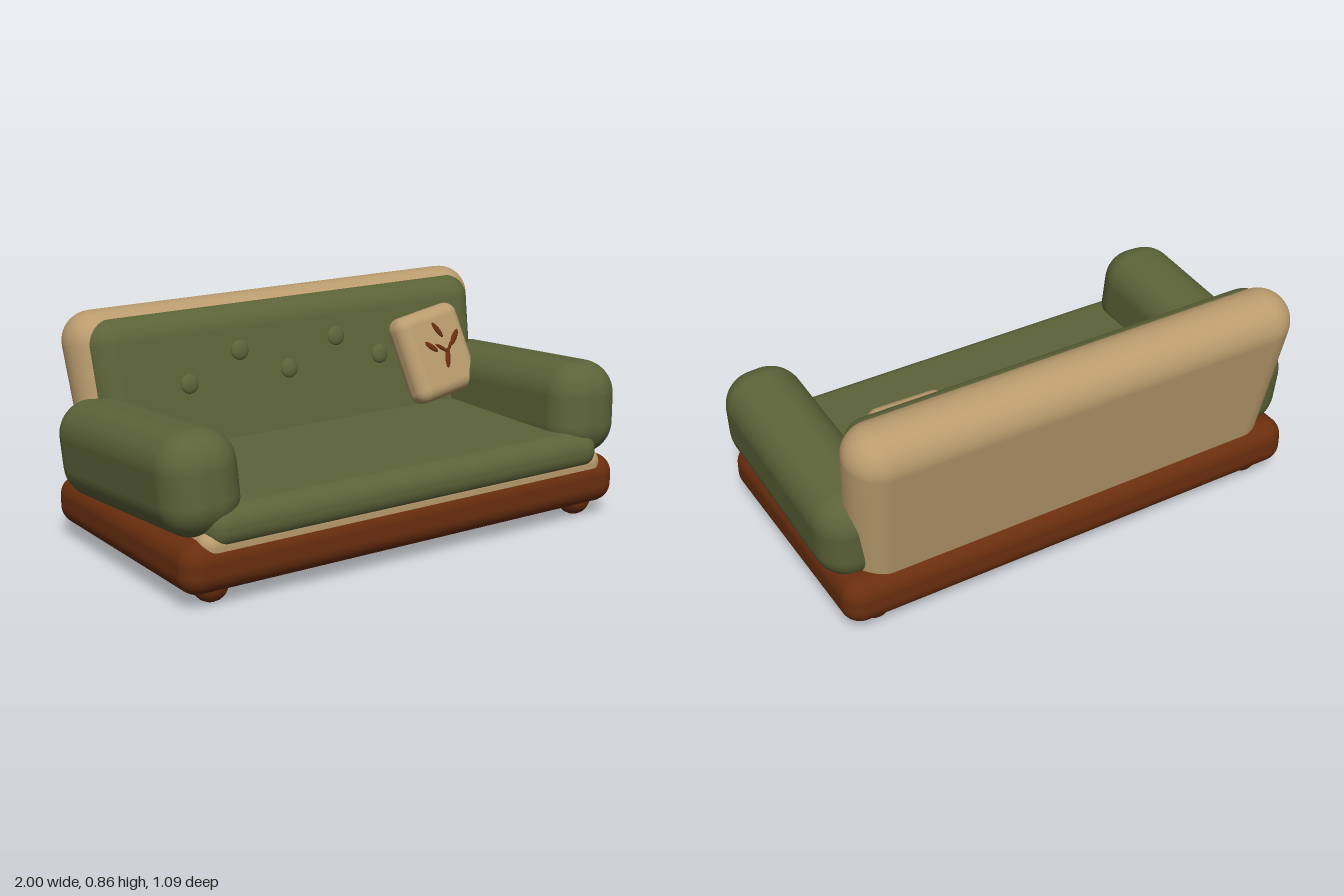
import * as THREE from 'three';
import { RoundedBoxGeometry } from 'three/addons/geometries/RoundedBoxGeometry.js';

export function createModel() {
  const sofa = new THREE.Group();
  sofa.name = 'sofa';

  const paint = (name, color) => {
    const m = new THREE.MeshStandardMaterial({ color });
    m.name = name;
    return m;
  };
  const green = paint('olive fabric', 0x5c6338);
  const tan = paint('tan fabric', 0xba9c6e);
  const wood = paint('brown wood', 0x6a2e0e);

  const add = (parent, name, geometry, material, x, y, z) => {
    const mesh = new THREE.Mesh(geometry, material);
    mesh.name = name;
    mesh.position.set(x, y, z);
    parent.add(mesh);
    return mesh;
  };
  const box = (w, h, d, r) => new RoundedBoxGeometry(w, h, d, 6, r);

  // Narrows a shape towards its bottom edge
  const taper = (geometry, height, amount) => {
    const p = geometry.attributes.position;
    for (let i = 0; i < p.count; i++) {
      p.setX(i, p.getX(i) * (1 - amount * (0.5 - p.getY(i) / height)));
    }
    geometry.computeBoundingSphere();
    return geometry;
  };

  // Base and feet
  add(sofa, 'base', box(1.92, 0.19, 1.02, 0.075), wood, 0, 0.145, 0.03);
  for (const x of [-0.82, 0.82]) {
    for (const z of [0.44, -0.37]) {
      add(sofa, 'foot', new THREE.SphereGeometry(0.065, 16, 10), wood, x, 0.065, z);
    }
  }

  // Seat cushion on its tan lining
  add(sofa, 'seatLining', box(1.78, 0.14, 0.83, 0.05), tan, 0, 0.2, 0.115);
  add(sofa, 'seatCushion', box(1.73, 0.15, 0.845, 0.07), green, 0, 0.275, 0.1225);

  // Armrests, raised at the front and leaning outwards
  for (const side of [-1, 1]) {
    const arm = add(sofa, side > 0 ? 'leftArm' : 'rightArm',
      box(0.3, 0.37, 0.95, 0.13), green, side * 0.847, 0.395, 0.055);
    arm.rotation.set(-0.07, 0, -side * 0.06);
  }

  // Reclined backrest: tan shell, green padding and buttons
  const back = new THREE.Group();
  back.name = 'backrest';
  back.position.set(0, 0.475, -0.368);
  back.rotation.x = -0.197;
  sofa.add(back);
  add(back, 'backShell', taper(box(1.85, 0.77, 0.25, 0.123), 0.77, 0.06), tan, 0, 0, 0);
  add(back, 'backPadding', taper(box(1.76, 0.63, 0.2, 0.098), 0.63, 0.04), green, 0, 0.034, 0.06);
  [-0.51, -0.28, -0.07, 0.16, 0.36, 0.59].forEach((x, i) => {
    const button = add(back, 'button', new THREE.SphereGeometry(0.038, 18, 12), green,
      x, i % 2 ? 0.167 : 0.07, 0.16);
    button.scale.z = 0.4;
  });

  // Throw pillow with a leaf sprig on its front
  const pillow = new THREE.Group();
  pillow.name = 'pillow';
  pillow.position.set(0.58, 0.56, -0.16);
  pillow.rotation.set(-0.36, 0.08, 0.16);
  sofa.add(pillow);
  add(pillow, 'pillowBody', box(0.33, 0.36, 0.115, 0.05), tan, 0, 0, 0);
  // Each entry: x, y, half length, half width, direction in degrees
  const sprig = [
    [0.01, 0.085, 0.038, 0.012, 115], [-0.047, 0.028, 0.036, 0.012, 135],
    [0.084, 0.034, 0.04, 0.013, 42], [0.018, -0.035, 0.042, 0.013, 68],
    [0.046, 0.006, 0.03, 0.007, 45], [0.003, 0.01, 0.036, 0.008, 138],
  ];
  for (const [x, y, length, width, angle] of sprig) {
    const leaf = add(pillow, 'leaf', new THREE.SphereGeometry(1, 12, 8), wood, x, y, 0.058);
    leaf.scale.set(length, width, 0.007);
    leaf.rotation.z = THREE.MathUtils.degToRad(angle);
  }

  return sofa;
}
